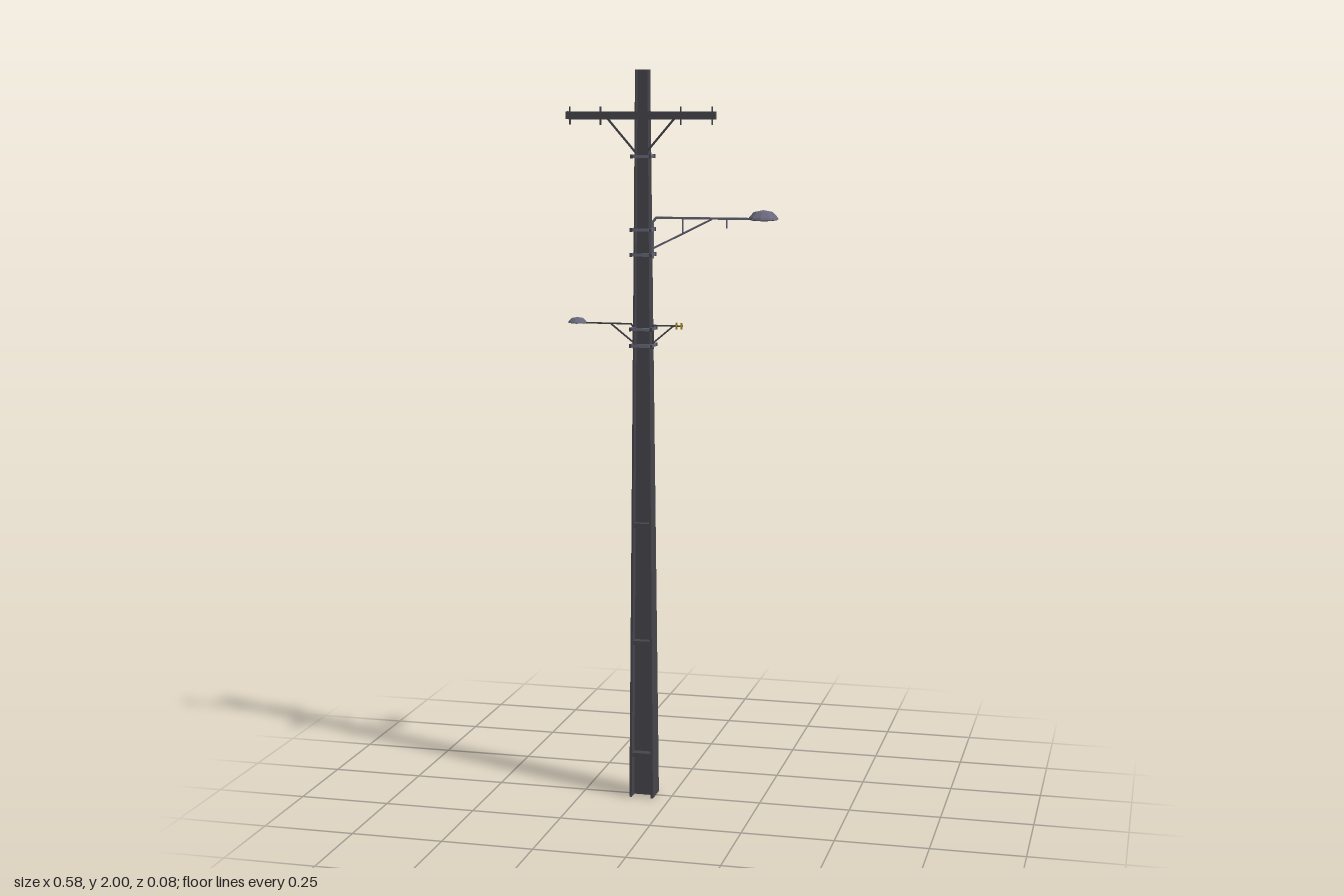
import * as THREE from 'three';

const POLE_X = -0.08;
const mat = (name, color) => {
  const m = new THREE.MeshStandardMaterial({ color });
  m.name = name;
  m.flatShading = true;
  return m;
};

// half width (x) and half depth (z) of the tapering pole at height y
const halfW = (y) => 0.034 - 0.0085 * y;
const halfD = (y) => 0.034 - 0.0095 * y;

export function createModel() {
  const root = new THREE.Group();
  root.name = 'utilityPole';
  const steel = mat('darkSteel', 0x45454c);
  const grey = mat('greyMetal', 0x69697c);
  const yellow = mat('yellowInsulator', 0xa88a20);

  const add = (name, geo, material, x = 0, y = 0, z = 0) => {
    const m = new THREE.Mesh(geo, material);
    m.name = name;
    m.position.set(x, y, z);
    root.add(m);
    return m;
  };
  const box = (name, material, w, h, d, x, y, z) => add(name, new THREE.BoxGeometry(w, h, d), material, x, y, z);
  // square bar between two points in the front plane
  const bar = (name, material, x1, y1, x2, y2, t, z = 0, d = t) => {
    const m = box(name, material, Math.hypot(x2 - x1, y2 - y1), t, d, (x1 + x2) / 2, (y1 + y2) / 2, z);
    m.rotation.z = Math.atan2(y2 - y1, x2 - x1);
    return m;
  };

  // Tapered H-section pole: flanges face left and right, web between them
  const f = 0.8, w = 0.13;
  const section = new THREE.Shape([
    [-1, -1], [-f, -1], [-f, -w], [f, -w], [f, -1], [1, -1],
    [1, 1], [f, 1], [f, w], [-f, w], [-f, 1], [-1, 1],
  ].map(([x, y]) => new THREE.Vector2(x, y)));
  const poleGeo = new THREE.ExtrudeGeometry(section, { depth: 2, bevelEnabled: false });
  poleGeo.rotateX(-Math.PI / 2);
  const p = poleGeo.attributes.position;
  for (let i = 0; i < p.count; i++) {
    const y = p.getY(i);
    p.setXYZ(i, p.getX(i) * halfW(y), y, p.getZ(i) * halfD(y));
  }
  poleGeo.computeVertexNormals();
  add('pole', poleGeo, steel, POLE_X);

  // Stiffener plates inside both channels
  for (const y of [0.12, 0.44, 0.77]) {
    for (const s of [-1, 1]) {
      box('stiffener', steel, halfW(y) * 1.62, 0.012, halfD(y) * 0.75, POLE_X, y, s * halfD(y) * 0.48);
    }
  }

  // Clamp bands with corner bolts
  const roundedRect = (target, a, b, c) => {
    target.moveTo(-a + c, -b);
    target.lineTo(a - c, -b); target.lineTo(a, -b + c);
    target.lineTo(a, b - c); target.lineTo(a - c, b);
    target.lineTo(-a + c, b); target.lineTo(-a, b - c);
    target.lineTo(-a, -b + c); target.closePath();
    return target;
  };
  for (const y of [1.265, 1.31, 1.51, 1.577, 1.772]) {
    const a = halfW(y), b = halfD(y);
    const ring = roundedRect(new THREE.Shape(), a + 0.008, b + 0.008, 0.006);
    ring.holes.push(roundedRect(new THREE.Path(), a, b, 0.001));
    const geo = new THREE.ExtrudeGeometry(ring, { depth: 0.008, bevelEnabled: false });
    geo.rotateX(-Math.PI / 2);
    add('clampBand', geo, grey, POLE_X, y - 0.004);
    for (const sx of [-1, 1]) {
      for (const sz of [-1, 1]) {
        box('clampBolt', steel, 0.006, 0.01, 0.006, POLE_X + sx * (a + 0.006), y, sz * (b + 0.006));
      }
    }
  }

  // Crossarm with pins and V brace
  box('crossarm', steel, 0.41, 0.021, 0.018, -0.08, 1.88, 0.024);
  for (const x of [-0.275, -0.19, 0.03, 0.115]) {
    add('crossarmPin', new THREE.CylinderGeometry(0.0025, 0.0025, 0.048, 6), steel, x, 1.879, 0.024);
  }
  for (const s of [-1, 1]) {
    bar('crossarmBrace', steel, POLE_X + s * 0.014, 1.782, POLE_X + s * 0.092, 1.872, 0.005, 0.021);
  }

  // Flat-topped faceted lamp: shallow dome over a closed underside
  const lamp = (name, x, y, r, h) => {
    const pts = [[0, -h * 0.12], [r * 0.7, -h * 0.12], [r, 0], [r * 0.94, h * 0.22], [r * 0.62, h * 0.8], [0, h]];
    add(name, new THREE.LatheGeometry(pts.map(([a, b]) => new THREE.Vector2(a, b)), 10), grey, x, y);
  };

  // Large lamp arm on the left side
  bar('largeArm', grey, -0.045, 1.609, 0.285, 1.609, 0.006);
  bar('largeArmBend', grey, -0.053, 1.598, -0.043, 1.609, 0.006);
  bar('largeArmUpright', grey, -0.053, 1.5, -0.053, 1.6, 0.006);
  bar('largeArmBrace', grey, -0.052, 1.527, 0.11, 1.607, 0.005);
  bar('largeArmStrut', grey, 0.03, 1.567, 0.03, 1.608, 0.004);
  bar('largeArmHook', grey, 0.15, 1.583, 0.15, 1.608, 0.004);
  lamp('largeLamp', 0.249, 1.608, 0.041, 0.025);

  // Small lamp arm on the right side
  bar('smallArm', steel, -0.285, 1.322, -0.112, 1.322, 0.004);
  bar('smallArmBend', steel, -0.114, 1.322, -0.106, 1.312, 0.004);
  bar('smallArmUpright', steel, -0.107, 1.255, -0.107, 1.313, 0.005);
  bar('smallArmBrace', steel, -0.108, 1.272, -0.17, 1.321, 0.004);
  lamp('smallLamp', -0.265, 1.322, 0.026, 0.015);

  // Short bracket carrying two yellow insulators
  bar('bracketArm', steel, -0.055, 1.319, 0.03, 1.319, 0.004);
  bar('bracketUpright', steel, -0.053, 1.255, -0.053, 1.32, 0.005);
  bar('bracketBrace', steel, -0.052, 1.272, 0.002, 1.317, 0.004);
  for (const x of [0.013, 0.027]) {
    const pin = add('insulator', new THREE.CylinderGeometry(0.0025, 0.0025, 0.018, 6), yellow, x, 1.319, 0);
    pin.rotation.x = Math.PI / 2;
    box('insulatorDisc', yellow, 0.004, 0.018, 0.006, x, 1.319, 0);
  }

  return root;
}
